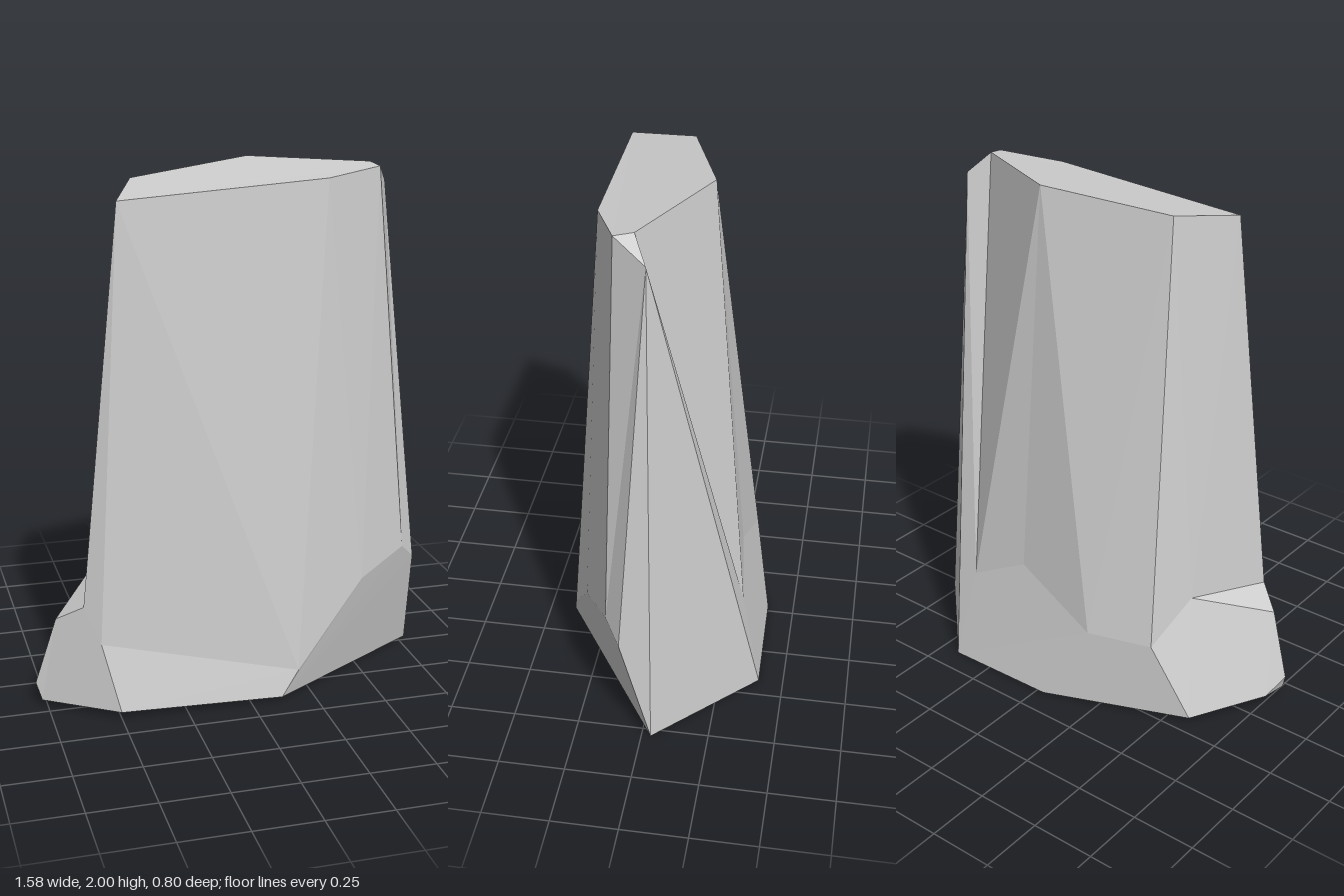
import * as THREE from 'three';

// Corner points of each cross-section, running round from the front right-hand corner
const foot = [
  [-0.77, 0.025, 0.2], [-0.5, 0.025, 0.38], [0.12, 0.015, 0.395], [0.785, 0, -0.035], [0.42, 0, -0.405],
  [-0.03, 0, -0.395], [-0.59, 0.017, -0.19], [-0.76, 0.035, 0.09], [-0.79, 0.09, 0.18],
];
const waist = [
  [-0.615, 0.415, 0.27], [-0.56, 0.28, 0.32], [0.19, 0.11, 0.375], [0.48, 0.41, 0.26], [0.69, 0.48, 0.145],
  [0.76, 0.41, 0.085], [0.37, 0.37, -0.33], [0.14, 0.485, -0.3], [-0.2, 0.32, -0.325], [-0.44, 0.31, -0.24],
  [-0.5, 0.467, -0.065],
];
const crown = [
  [-0.455, 1.905, 0.23], [0.335, 1.955, 0.205], [0.565, 1.98, 0.11], [0.63, 1.91, -0.01], [0.55, 1.99, 0.04],
  [0.13, 2, -0.17], [-0.35, 1.95, -0.03],
];
const ledge = [-0.71, 0.35, 0.2];

// Each column runs up the rock: foot, lower rim, upper rim, crown.
// Repeated points make the facets narrow to triangles.
function columns() {
  const list = [];
  const add = (f, w, c) => list.push([foot[f], waist[w], waist[w], crown[c]]);
  const addLedge = (f, w, c) => list.push([foot[f], ledge, waist[w], crown[c]]);
  const addPlain = (f, c) => list.push([foot[f], foot[f], foot[f], crown[c]]);
  // ledge corner
  addLedge(8, 0, 0); addLedge(0, 0, 0);
  // front
  add(0, 0, 0); add(1, 1, 0); add(2, 2, 0); add(2, 2, 1); add(2, 3, 1);
  add(2, 3, 2); add(2, 4, 2); add(2, 4, 3); add(2, 5, 3);
  // side facets that reach straight to the ground
  addPlain(3, 3); addPlain(4, 3);
  // back
  add(4, 6, 3); add(4, 6, 4); add(4, 6, 5); add(4, 7, 5);
  add(5, 8, 5); add(6, 9, 6); add(6, 10, 6);
  // back of the ledge
  addLedge(7, 10, 6); addLedge(8, 10, 6);
  return list;
}

function rockGeometry() {
  const positions = [];
  const triangle = (a, b, c) => {
    if (a !== b && b !== c && c !== a) positions.push(...a, ...b, ...c);
  };

  // Sides
  const cols = columns();
  cols.forEach((col, i) => {
    const next = cols[(i + 1) % cols.length];
    for (let j = 0; j < 3; j++) {
      triangle(col[j], next[j], next[j + 1]);
      triangle(col[j], next[j + 1], col[j + 1]);
    }
  });

  // Crown and underside, fanned from one corner
  const n = crown.length;
  for (let i = 1; i < n - 1; i++) triangle(crown[2], crown[(2 + i) % n], crown[(3 + i) % n]);
  for (let i = 1; i < foot.length - 1; i++) triangle(foot[0], foot[i + 1], foot[i]);

  const geometry = new THREE.BufferGeometry();
  geometry.setAttribute('position', new THREE.Float32BufferAttribute(positions, 3));
  geometry.computeVertexNormals();
  return geometry;
}

export function createModel() {
  const group = new THREE.Group();
  group.name = 'standingRock';
  const stone = new THREE.MeshStandardMaterial({ color: 0xcccccc, flatShading: true });
  const rock = new THREE.Mesh(rockGeometry(), stone);
  rock.name = 'rockPillar';
  group.add(rock);
  return group;
}
